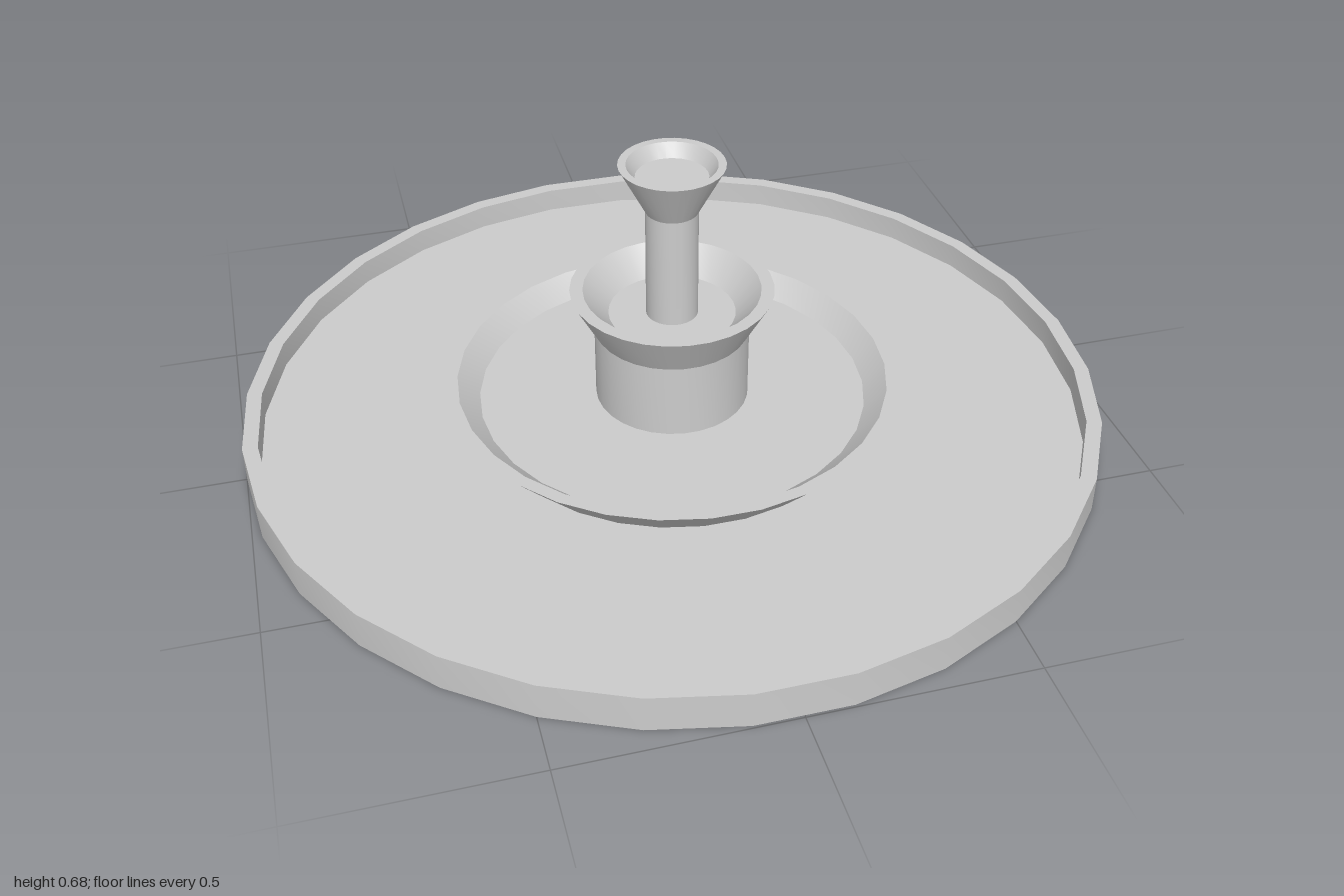
import * as THREE from 'three';
import { toCreasedNormals } from 'three/addons/utils/BufferGeometryUtils.js';

const SIDES = 30;

export function createModel() {
  const group = new THREE.Group();
  const material = new THREE.MeshStandardMaterial({ color: 0xcccccc });

  // Turns a [radius, height] profile (bottom to top, then inward) around y
  function turned(name, profile) {
    const points = profile.map(([r, y]) => new THREE.Vector2(r, y));
    const lathe = new THREE.LatheGeometry(points, SIDES, Math.PI / 2);
    const mesh = new THREE.Mesh(toCreasedNormals(lathe, Math.PI / 9), material);
    mesh.name = name;
    group.add(mesh);
  }

  // Wide, shallow ground basin with a thin upright rim
  turned('groundBasin', [
    [0, 0], [1, 0], [1, 0.086], [0.965, 0.086], [0.965, 0.025], [0, 0.025],
  ]);

  // Flared lower bowl standing in the basin
  turned('lowerBowl', [
    [0.45, 0.025], [0.535, 0.12], [0.505, 0.12], [0.455, 0.07], [0, 0.07],
  ]);

  // Thick pedestal opening into the middle bowl
  turned('middleBowl', [
    [0.18, 0.07], [0.18, 0.252], [0.235, 0.354], [0.205, 0.354], [0.147, 0.29], [0, 0.29],
  ]);

  // Slim column opening into the small top bowl
  turned('topBowl', [
    [0.06, 0.29], [0.06, 0.56], [0.12, 0.676], [0.102, 0.676], [0.082, 0.645], [0, 0.645],
  ]);

  return group;
}
